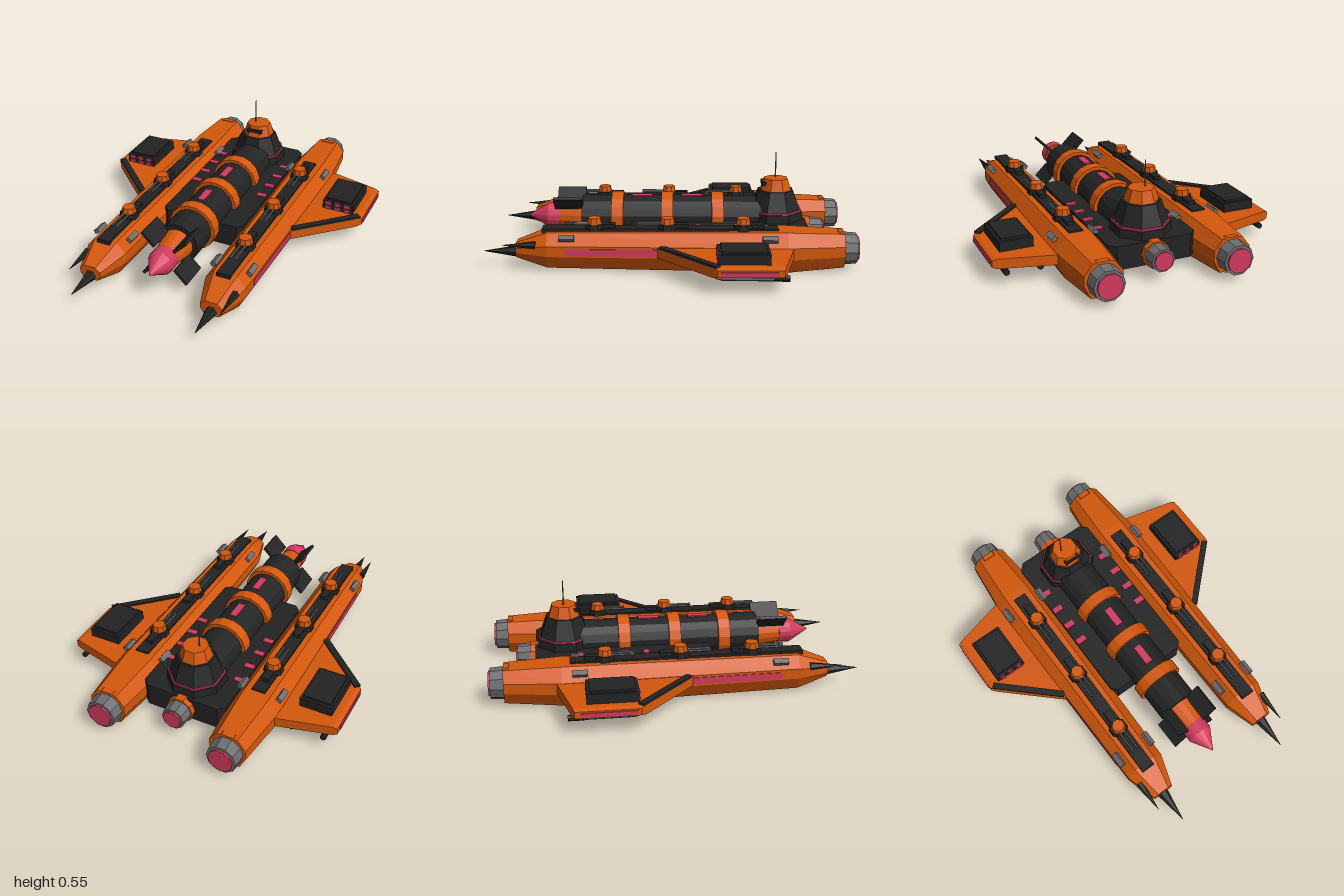
import * as THREE from 'three';

const mat = (name, color) => {
  const m = new THREE.MeshStandardMaterial({ color });
  m.name = name;
  return m;
};

export function createModel() {
  const orange = mat('orange hull', 0xd4580c);
  const black = mat('dark plating', 0x232323);
  const pink = mat('pink glow', 0xd23a5e);
  const grey = mat('grey metal', 0x6c6d70);

  const root = new THREE.Group();
  root.name = 'spaceship';

  // Faceted mesh helper
  const add = (parent, name, geo, material, x = 0, y = 0, z = 0) => {
    const g = geo.index ? geo.toNonIndexed() : geo;
    g.computeVertexNormals();
    const mesh = new THREE.Mesh(g, material);
    mesh.name = name;
    mesh.position.set(x, y, z);
    parent.add(mesh);
    return mesh;
  };
  const box = (p, name, m, w, h, d, x, y, z) => add(p, name, new THREE.BoxGeometry(w, h, d), m, x, y, z);

  // Cylinder or cone along z, from z0 (radius r0) to z1 (radius r1)
  const tubeZ = (p, name, m, r0, r1, z0, z1, x, y, n = 16) => {
    const g = new THREE.CylinderGeometry(r1, r0, z1 - z0, n);
    g.rotateY(Math.PI / n).rotateX(Math.PI / 2);
    return add(p, name, g, m, x, y, (z0 + z1) / 2);
  };

  // Upright octagonal frustum with a flat side to the front
  const octY = (p, name, m, a0, a1, y0, y1, x, z) => {
    const k = 1 / Math.cos(Math.PI / 8);
    const g = new THREE.CylinderGeometry(a1 * k, a0 * k, y1 - y0, 8);
    g.rotateY(Math.PI / 8);
    return add(p, name, g, m, x, (y0 + y1) / 2, z);
  };

  // Closed loft through rings of points, counter-clockwise seen from the last ring
  const loft = (rings, flip = false) => {
    const n = rings[0].length, idx = [], last = (rings.length - 1) * n;
    const tri = (a, b, c) => idx.push(...(flip ? [a, c, b] : [a, b, c]));
    for (let r = 0; r < rings.length - 1; r++) {
      for (let i = 0; i < n; i++) {
        const a = r * n + i, b = r * n + (i + 1) % n;
        tri(a, b, b + n);
        tri(a, b + n, a + n);
      }
    }
    for (let i = 1; i < n - 1; i++) {
      tri(0, i + 1, i);
      tri(last, last + i, last + i + 1);
    }
    const g = new THREE.BufferGeometry();
    g.setAttribute('position', new THREE.Float32BufferAttribute(rings.flat(2), 3));
    g.setIndex(idx);
    return g;
  };

  // Eight-sided hull section
  const section = (z, w, y0, y1) => {
    const h = y1 - y0, a = y0 + h * 0.38, b = y0 + h * 0.68, t = w * 0.56, u = w * 0.65;
    return [[-u, y0, z], [u, y0, z], [w, a, z], [w, b, z], [t, y1, z], [-t, y1, z], [-w, b, z], [-w, a, z]];
  };

  // Engine: grey nozzle with glowing disc
  const engine = (p, x, y, z, r, len) => {
    tubeZ(p, 'engineNozzle', grey, r * 0.93, r, z - len, z, x, y, 10);
    tubeZ(p, 'engineGlow', pink, r * 0.76, r * 0.76, z - len - 0.01, z - len + 0.01, x, y, 10);
  };

  // Side hulls and wings
  for (const s of [1, -1]) {
    const side = new THREE.Group();
    side.name = s > 0 ? 'leftSide' : 'rightSide';
    root.add(side);
    const cx = 0.347 * s;

    add(side, 'hull', loft([
      section(-0.92, 0.1, 0.026, 0.205), section(-0.62, 0.129, 0.002, 0.216),
      section(0.64, 0.112, 0.022, 0.21), section(0.81, 0.06, 0.068, 0.147),
    ]), orange, cx);
    tubeZ(side, 'hullCollar', orange, 0.1, 0.1, -0.92, -0.89, cx, 0.115, 10);
    engine(side, cx, 0.113, -0.915, 0.088, 0.075);
    tubeZ(side, 'noseSpike', black, 0.033, 0.001, 0.8, 0.99, cx, 0.09, 6);
    tubeZ(side, 'sideSpike', black, 0.022, 0.001, 0.7, 0.875, 0.428 * s, 0.147, 6);

    // Painted side stripe
    box(side, 'sideStripe', pink, 0.009, 0.037, 0.48, cx + 0.1155 * s, 0.118, 0.3).rotation.y = -0.0144 * s;

    // Dorsal strip with gun turrets
    box(side, 'dorsalStrip', black, 0.075, 0.022, 1.245, cx, 0.214, 0.048);
    for (const z of [-0.39, 0.01, 0.395]) {
      octY(side, 'turretBase', black, 0.05, 0.046, 0.215, 0.245, cx, z);
      octY(side, 'turretTop', orange, 0.038, 0.032, 0.243, 0.277, cx, z);
      for (const d of [-0.014, 0.014]) tubeZ(side, 'gunBarrel', grey, 0.006, 0.006, z + 0.03, z + 0.16, cx + d, 0.245, 6);
      box(side, 'turretPack', black, 0.04, 0.02, 0.07, cx, 0.235, z - 0.075);
    }

    // Shoulder clamps
    for (const z of [-0.525, 0.535]) for (const d of [-1, 1]) {
      const off = z < 0 ? 0.112 : 0.1;
      box(side, 'shoulderClamp', grey, 0.03, 0.022, 0.08, cx + off * d, 0.192, z).rotation.z = -0.6 * d;
    }

    // Wing, thinner at the tip
    const rib = (x, zb, zf, y0, y1) => [[x * s, y0, zb], [x * s, y1, zb], [x * s, y1, zf], [x * s, y0, zf]];
    add(side, 'wing', loft([
      rib(0.4, -0.665, 0.125, 0.092, 0.147), rib(0.76, -0.575, -0.215, 0.092, 0.145),
      rib(0.784, -0.568, -0.24, 0.1, 0.136),
    ], s < 0), orange);
    box(side, 'leadingEdgeTrim', black, 0.41, 0.012, 0.035, 0.615 * s, 0.149, -0.1).rotation.y = 0.76 * s;
    box(side, 'wingTipLight', pink, 0.009, 0.02, 0.28, 0.785 * s, 0.118, -0.395);

    // Launcher on the wing with two rows of ports
    box(side, 'launcherBox', black, 0.178, 0.055, 0.26, 0.636 * s, 0.17, -0.375);
    box(side, 'launcherLid', black, 0.15, 0.014, 0.23, 0.636 * s, 0.202, -0.375);
    for (const d of [-0.055, 0, 0.055]) for (const y of [0.157, 0.186]) {
      box(side, 'launcherPort', pink, 0.032, 0.02, 0.008, 0.636 * s + d, y, -0.244);
    }

    // Missiles under the wing
    for (const x of [0.545, 0.72]) {
      box(side, 'missilePylon', black, 0.01, 0.02, 0.12, x * s, 0.087, -0.4);
      tubeZ(side, 'missileBody', grey, 0.014, 0.014, -0.52, -0.27, x * s, 0.075, 8);
      tubeZ(side, 'missileTail', black, 0.016, 0.016, -0.6, -0.52, x * s, 0.075, 8);
      tubeZ(side, 'missileTip', pink, 0.014, 0.003, -0.27, -0.23, x * s, 0.075, 8);
    }

    // Deck lights
    for (const z of [-0.51, -0.39, -0.272, -0.156]) {
      box(root, 'deckLight', pink, 0.056, 0.009, 0.032, 0.207 * s, 0.188, z);
    }
  }

  // Central deck with cut corners
  const deck = new THREE.Shape([
    [-0.21, -0.21], [0.21, -0.21], [0.24, -0.18], [0.24, 0.72], [0.205, 0.755],
    [-0.205, 0.755], [-0.24, 0.72], [-0.24, -0.18],
  ].map(([x, y]) => new THREE.Vector2(x, y)));
  const deckGeo = new THREE.ExtrudeGeometry(deck, { depth: 0.128, bevelEnabled: false });
  add(root, 'deck', deckGeo.rotateX(-Math.PI / 2), black, 0, 0.057, 0);

  // Central fuselage with rings
  const cy = 0.193;
  tubeZ(root, 'fuselage', black, 0.115, 0.115, -0.6, 0.49, 0, cy);
  for (const z of [-0.265, 0.015, 0.292]) tubeZ(root, 'fuselageRing', orange, 0.134, 0.134, z - 0.033, z + 0.033, 0, cy);
  tubeZ(root, 'noseCollar', orange, 0.088, 0.066, 0.485, 0.625, 0, cy);
  tubeZ(root, 'noseBand', pink, 0.07, 0.07, 0.62, 0.685, 0, cy);
  tubeZ(root, 'noseCone', pink, 0.07, 0.001, 0.685, 0.8, 0, cy);
  for (const z of [-0.122, 0.157]) box(root, 'spineLight', pink, 0.04, 0.009, 0.115, 0, cy + 0.115, z);

  // Diagonal nose fins
  for (let i = 0; i < 4; i++) {
    const a = Math.PI / 4 + i * Math.PI / 2;
    box(root, 'noseFin', black, 0.1, 0.016, 0.16, Math.cos(a) * 0.13, cy + Math.sin(a) * 0.13, 0.563).rotation.z = a;
  }

  // Central engine
  tubeZ(root, 'engineCollar', orange, 0.075, 0.075, -0.785, -0.74, 0, 0.117, 10);
  engine(root, 0, 0.117, -0.785, 0.067, 0.07);

  // Command tower
  const tz = -0.592;
  octY(root, 'towerBase', black, 0.148, 0.145, 0.18, 0.23, 0, tz);
  octY(root, 'towerBand', pink, 0.14, 0.14, 0.228, 0.24, 0, tz);
  octY(root, 'towerBody', black, 0.134, 0.095, 0.238, 0.347, 0, tz);
  octY(root, 'towerCabin', orange, 0.084, 0.064, 0.345, 0.412, 0, tz);
  box(root, 'cabinWindow', black, 0.09, 0.02, 0.03, 0, 0.385, tz + 0.066);
  add(root, 'antenna', new THREE.CylinderGeometry(0.003, 0.004, 0.15, 6), grey, -0.022, 0.477, tz);

  return root;
}
